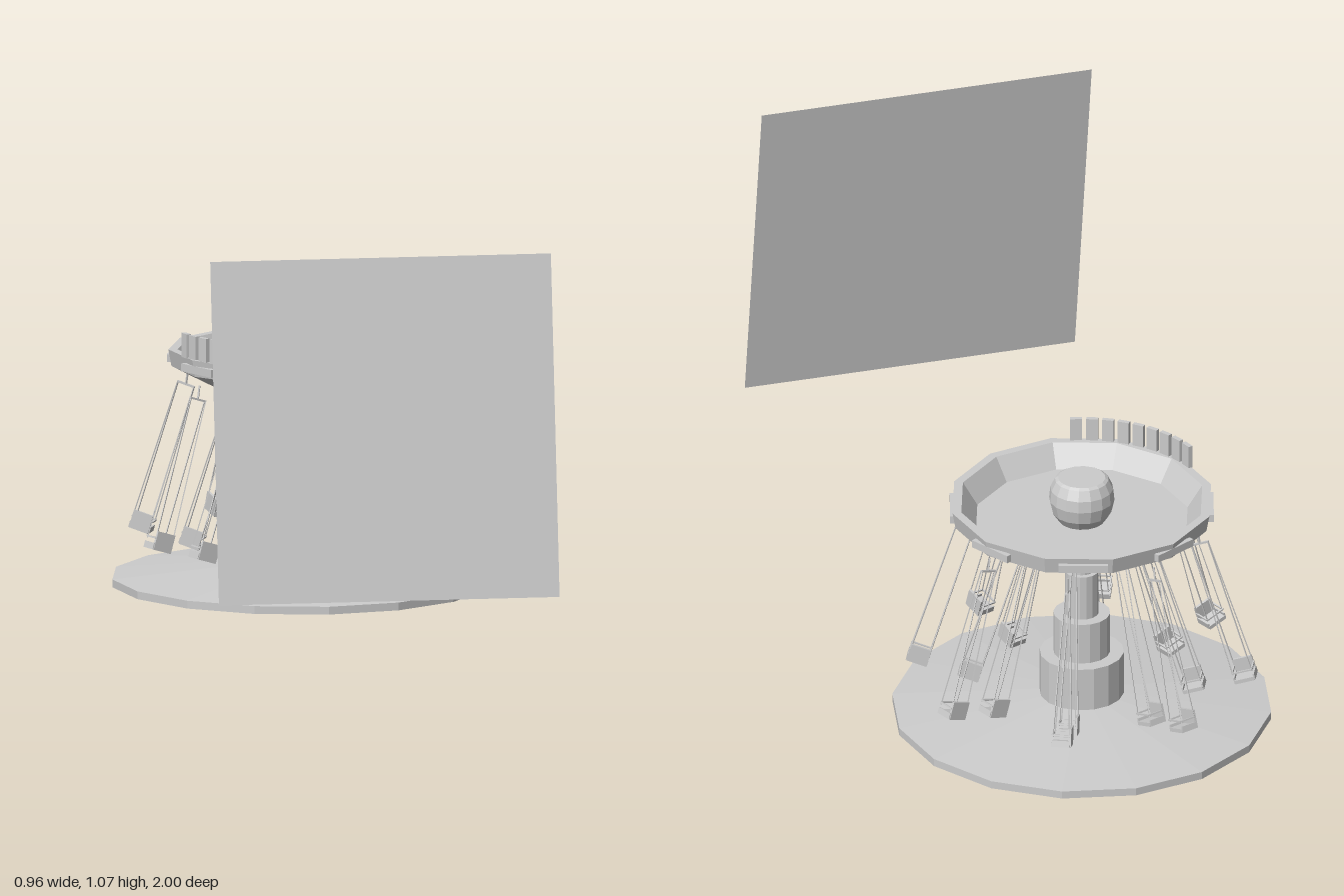
import * as THREE from 'three';

const material = new THREE.MeshStandardMaterial({ color: 0xcccccc, flatShading: true, side: THREE.DoubleSide });
const rad = THREE.MathUtils.degToRad;

function add(parent, name, geometry, x = 0, y = 0, z = 0) {
  const mesh = new THREE.Mesh(geometry, material);
  mesh.name = name;
  mesh.position.set(x, y, z);
  parent.add(mesh);
  return mesh;
}

function group(parent, name) {
  const g = new THREE.Group();
  g.name = name;
  parent.add(g);
  return g;
}

const lathe = (profile, sides) =>
  new THREE.LatheGeometry(profile.map(([r, y]) => new THREE.Vector2(r, y)), sides);

const box = (w, h, d) => new THREE.BoxGeometry(w, h, d);

// Thin straight rod between two points
function rod(parent, name, a, b, radius = 0.0018) {
  const from = new THREE.Vector3(...a), to = new THREE.Vector3(...b);
  const dir = to.clone().sub(from);
  const mesh = add(parent, name, new THREE.CylinderGeometry(radius, radius, dir.length(), 4));
  mesh.position.copy(from).add(to).multiplyScalar(0.5);
  mesh.quaternion.setFromUnitVectors(new THREE.Vector3(0, 1, 0), dir.normalize());
}

// One hanging chair: local +x points outward, the rider faces +z
function addSwing(parent, name, angle, radius, topY, length) {
  const arm = group(parent, name);
  arm.rotation.y = angle;
  rod(arm, 'hanger', [radius, topY, 0], [radius - 0.005, 0.53, 0], 0.003);

  const swing = group(arm, 'hangingChair');
  swing.position.set(radius, topY, 0);
  swing.rotation.z = rad(17.5);
  add(swing, 'spreaderBar', box(0.048, 0.005, 0.005));
  for (const sx of [-1, 1]) {
    for (const sz of [-1, 1]) {
      rod(swing, 'chain', [sx * 0.022, 0, sz * 0.003], [sx * 0.025, -length, sz * 0.021]);
    }
    add(swing, 'armRail', box(0.004, 0.004, 0.046), sx * 0.026, -length + 0.005, 0);
    add(swing, 'seatSide', box(0.004, 0.016, 0.046), sx * 0.026, -length - 0.016, 0);
  }
  add(swing, 'seat', box(0.052, 0.01, 0.05), 0, -length - 0.02, 0);
  add(swing, 'backrest', box(0.052, 0.046, 0.007), 0, -length, -0.022);
  add(swing, 'lapBar', box(0.052, 0.004, 0.004), 0, -length + 0.005, 0.023);
}

export function createModel() {
  const model = new THREE.Group();
  model.name = 'swingRide';

  // Upright panel in front, leaning back
  const panel = add(model, 'leaningPanel', new THREE.PlaneGeometry(0.87, Math.hypot(0.855, 0.15)), 0, 0.64, 0.925);
  panel.rotation.x = -Math.atan2(0.15, 0.855);

  const ride = group(model, 'carousel');
  ride.position.z = -0.52;

  // Sloped platform with an open centre
  add(ride, 'platform', lathe([[0.105, 0], [0.481, 0], [0.481, 0.02], [0.105, 0.055]], 16));

  // Telescoping column, open underneath
  add(ride, 'column', lathe([
    [0.107, 0], [0.107, 0.17], [0.072, 0.17], [0.072, 0.28],
    [0.043, 0.28], [0.043, 0.4], [0.03, 0.4], [0.03, 0.52],
  ], 16));

  // Shallow dish canopy and the barrel-shaped cap on its floor
  const canopy = add(ride, 'canopy', lathe([
    [0, 0.515], [0.24, 0.515], [0.328, 0.56], [0.336, 0.603],
    [0.313, 0.603], [0.275, 0.545], [0, 0.545],
  ], 12));
  canopy.rotation.y = rad(-3);
  add(ride, 'centreCap', lathe([
    [0.058, 0.545], [0.075, 0.57], [0.083, 0.605], [0.08, 0.635], [0.068, 0.66], [0.06, 0.665], [0, 0.665],
  ], 16));

  // Rim plates and two rings of chairs
  for (let i = 0; i < 8; i++) {
    const turn = i * Math.PI / 4;
    const holder = group(ride, 'rimPlateHolder');
    holder.rotation.y = turn + rad(29);
    add(holder, 'rimPlate', box(0.014, 0.02, 0.125), 0.326, 0.578, 0);
    addSwing(ride, 'outerSwing', turn + rad(21.5), 0.3, 0.495, 0.37);
    addSwing(ride, 'innerSwing', turn + rad(21.5), 0.16, 0.487, 0.4);
  }

  // Row of blank plaques standing on the rim
  for (let i = 0; i < 9; i++) {
    const a = rad(14 + i * 7.3);
    const plaque = add(ride, 'rimPlaque', box(0.03, 0.062, 0.012), -0.322 * Math.sin(a), 0.632, 0.322 * Math.cos(a));
    plaque.rotation.y = -a;
  }
  return model;
}
